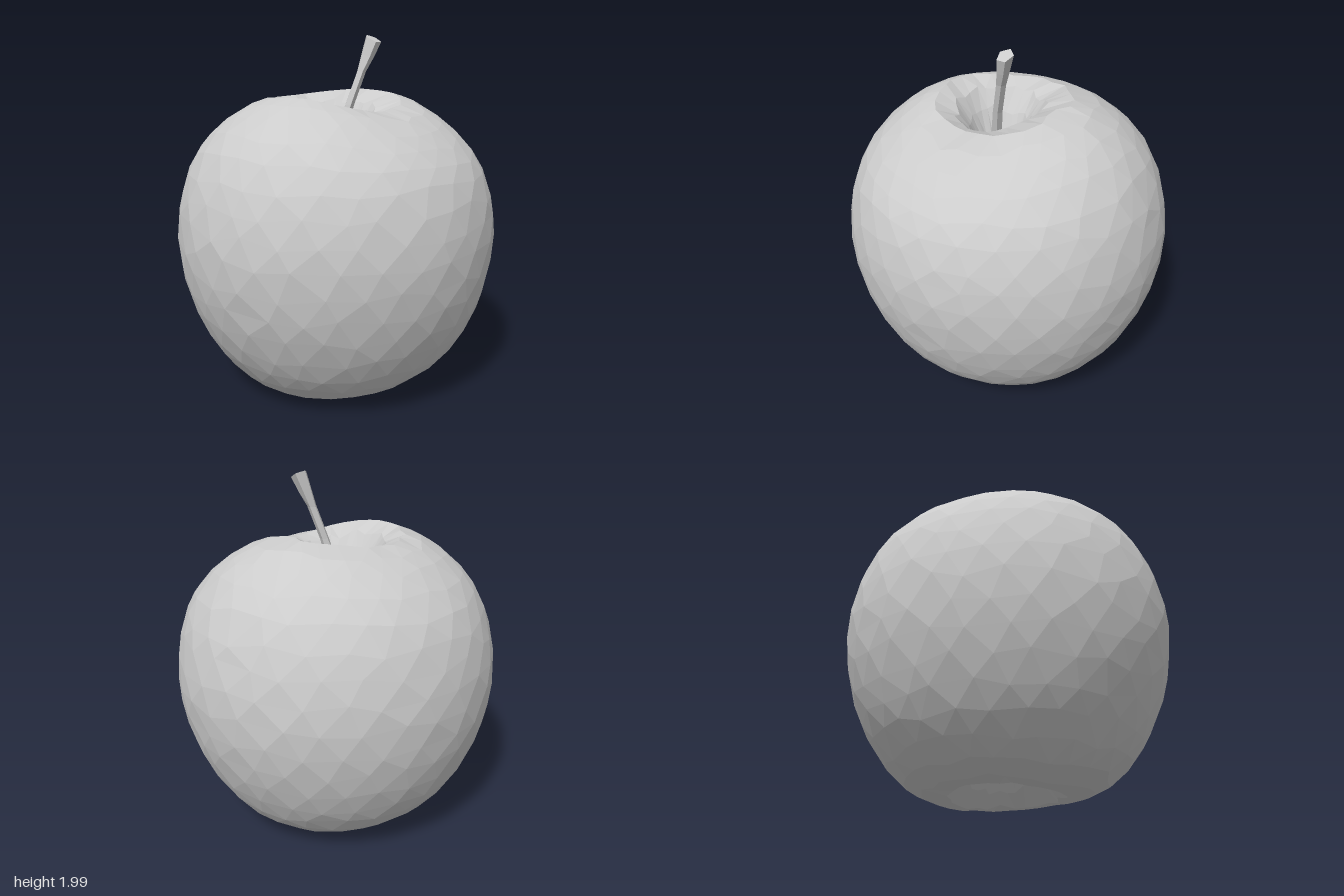
import * as THREE from 'three';

const material = new THREE.MeshStandardMaterial({
  color: 0xcccccc, flatShading: true, side: THREE.DoubleSide,
});

// Small seeded generator, values in -1..1
function makeRandom(seed) {
  let s = seed;
  return () => {
    s = (s * 16807) % 2147483647;
    return (s / 2147483647) * 2 - 1;
  };
}

// Faceted skin over rows of points; odd rows may be staggered by half a column
function loft(rows, cols, point) {
  const positions = [];
  const index = [];
  for (let j = 0; j < rows; j++) {
    for (let i = 0; i < cols; i++) positions.push(...point(i, j));
  }
  const at = (i, j) => j * cols + (i % cols);
  for (let j = 0; j < rows - 1; j++) {
    for (let i = 0; i < cols; i++) {
      const a = at(i, j), b = at(i + 1, j), c = at(i, j + 1), d = at(i + 1, j + 1);
      if (j % 2) index.push(a, c, d, a, d, b);
      else index.push(a, c, b, b, c, d);
    }
  }
  const geometry = new THREE.BufferGeometry();
  geometry.setAttribute('position', new THREE.Float32BufferAttribute(positions, 3));
  geometry.setIndex(index);
  const flat = geometry.toNonIndexed();
  flat.computeVertexNormals();
  return flat;
}

function named(name, geometry) {
  const mesh = new THREE.Mesh(geometry, material);
  mesh.name = name;
  return mesh;
}

// Fruit: one profile from the lower hollow, round the outside, into the upper hollow
function fruitGeometry() {
  const profile = new THREE.CatmullRomCurve3([
    [0, 0.24], [0.1, 0.21], [0.2, 0.1], [0.29, 0.025], [0.37, 0.002], [0.56, 0.075],
    [0.71, 0.23], [0.83, 0.45], [0.9, 0.68], [0.922, 0.92], [0.887, 1.15], [0.8, 1.37],
    [0.66, 1.535], [0.48, 1.65], [0.34, 1.68], [0.24, 1.62], [0.16, 1.5], [0.1, 1.38], [0, 1.35],
  ].map(([r, y]) => new THREE.Vector3(r, y, 0)));
  const random = makeRandom(71);
  const rows = 25, cols = 28;
  return loft(rows, cols, (i, j) => {
    const end = j === 0 || j === rows - 1;
    const t = end ? j / (rows - 1) : (j + random() * 0.22) / (rows - 1);
    const a = ((i + (j % 2) * 0.5 + random() * 0.2) / cols) * Math.PI * 2;
    const p = profile.getPointAt(t);
    const c = Math.cos(a), s = Math.sin(a);
    const top = THREE.MathUtils.smoothstep(p.y, 1.1, 1.65);
    const bottom = 1 - THREE.MathUtils.smoothstep(p.y, 0, 0.4);
    const hollow = t > 0.5 ? 1 - THREE.MathUtils.smoothstep(p.x, 0.2, 0.5) : 0;
    // The rim dips at the front and a little at the back
    const dip = s * s * (s > 0 ? 0.085 : 0.03) - 0.008 * c;
    const y = p.y - top * dip * Math.min(1, p.x / 0.3) + bottom * 0.025 * s * s;
    return [c * p.x - 0.05 * hollow, y, s * p.x * 0.982];
  });
}

// Stalk: slim five-sided stem that leans, kinks and flares to a slanted end
function stalkGeometry() {
  const sections = [ // x, y, z, radius
    [-0.06, 1.32, 0.03, 0.05], [-0.045, 1.42, 0.045, 0.032], [0, 1.62, 0.09, 0.027],
    [0.055, 1.8, 0.13, 0.027], [0.085, 1.89, 0.15, 0.036], [0.112, 1.978, 0.17, 0.045],
    [0.112, 1.978, 0.17, 0],
  ];
  return loft(sections.length, 5, (i, j) => {
    const [x, y, z, r] = sections[j];
    const a = (i / 5) * Math.PI * 2 - Math.PI / 2;
    const dx = Math.cos(a) * r, dz = Math.sin(a) * r;
    return [x + dx, y - (j > 3 ? 0.48 * dz : 0), z + dz];
  });
}

export function createModel() {
  const group = new THREE.Group();
  group.name = 'apple';
  group.add(named('fruit', fruitGeometry()), named('stalk', stalkGeometry()));

  // Dried sepals round the lower hollow
  const calyx = new THREE.Group();
  calyx.name = 'calyx';
  for (let i = 0; i < 6; i++) {
    const a = (i / 6) * Math.PI * 2;
    const sepal = named('sepal', new THREE.ConeGeometry(0.035, 0.1, 3));
    sepal.position.set(Math.cos(a) * 0.085, 0.19, Math.sin(a) * 0.085);
    sepal.rotation.set(Math.PI, a, 0.5, 'YXZ');
    calyx.add(sepal);
  }
  group.add(calyx);
  return group;
}
